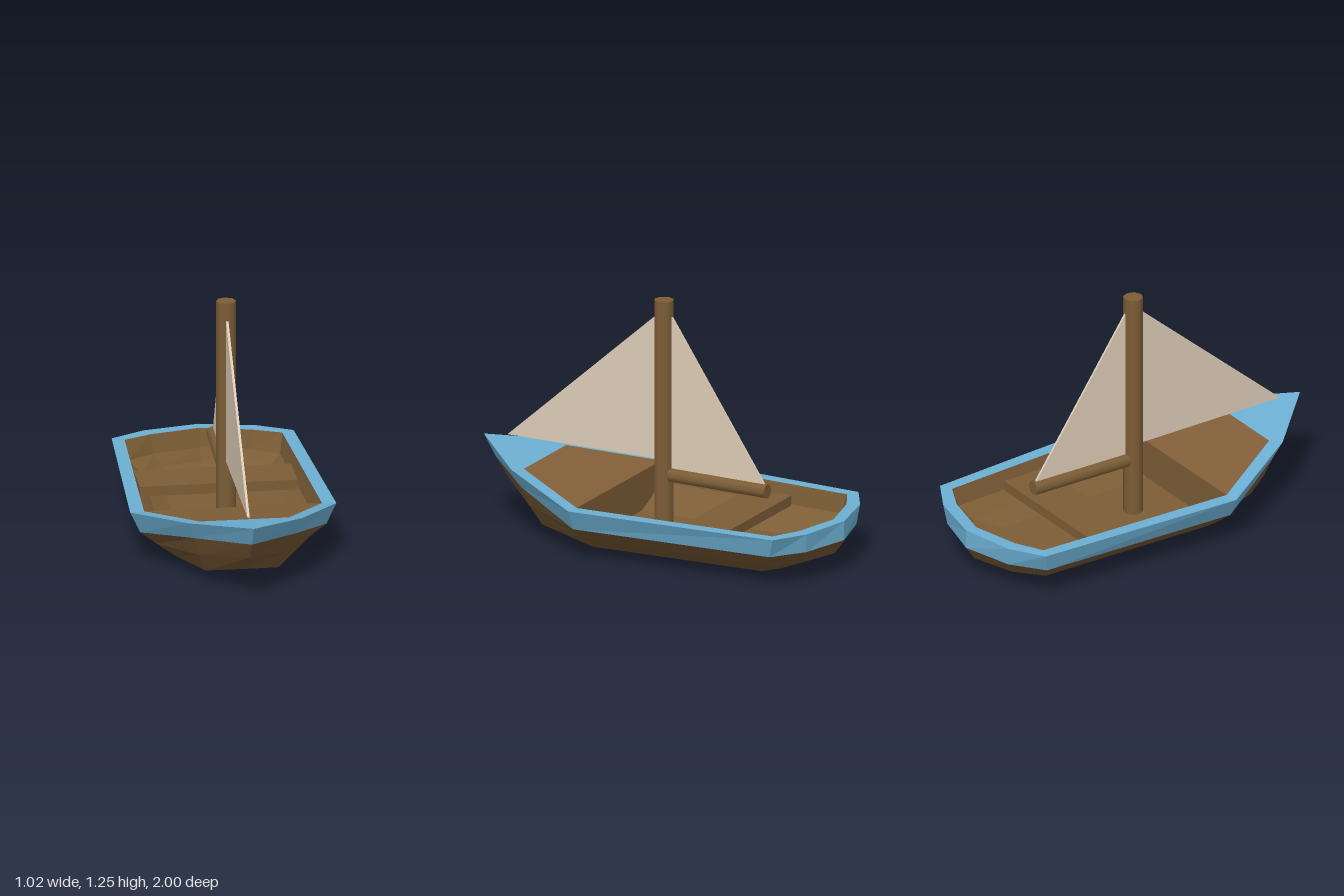
import * as THREE from 'three';

const mat = (name, color) => {
  const m = new THREE.MeshStandardMaterial({ color });
  m.name = name;
  return m;
};

// Flat faceted mesh from convex polygons given as lists of [x, y, z]
function faceted(name, polygons, material) {
  const pos = [];
  for (const p of polygons)
    for (let i = 1; i < p.length - 1; i++) pos.push(...p[0], ...p[i], ...p[i + 1]);
  const g = new THREE.BufferGeometry();
  g.setAttribute('position', new THREE.Float32BufferAttribute(pos, 3));
  g.computeVertexNormals();
  const mesh = new THREE.Mesh(g, material);
  mesh.name = name;
  return mesh;
}

const mirror = ([x, y, z]) => [-x, y, z];
// Closed loop from a stern-to-bow half section
const loop = (half) => [...half, ...half.slice(1, -1).reverse().map(mirror), half[0]];
// Open U-shaped path round the stern
const path = (half) => [...half.slice(1).reverse().map(mirror), ...half];
// Quads joining two equal rows of points
const strip = (a, b) => a.slice(1).map((p, i) => [a[i], p, b[i + 1], b[i]]);
const strips = (rows) => rows.slice(1).flatMap((r, i) => strip(rows[i], r));

export function createModel() {
  const blue = mat('blue paint', 0x6cafd2);
  const hullWood = mat('hull wood', 0x6e5230);
  const wood = mat('wood', 0x7c5d36);
  const deckWood = mat('deck wood', 0x825f38);
  const cloth = mat('sail cloth', 0xdccbb6);
  const boat = new THREE.Group();
  boat.name = 'sailboat';

  // Outer hull half sections, gunwale down to chine
  const outer = [
    [[0, 0.265, -1], [0.28, 0.265, -0.94], [0.45, 0.267, -0.84], [0.51, 0.27, 0.26], [0.28, 0.357, 0.7], [0, 0.42, 1]],
    [[0, 0.168, -1], [0.26, 0.168, -0.93], [0.42, 0.168, -0.81], [0.46, 0.165, 0.26], [0.25, 0.265, 0.66], [0, 0.315, 0.935]],
    [[0, 0.095, -0.95], [0.22, 0.095, -0.88], [0.35, 0.095, -0.77], [0.38, 0.1, 0.25], [0.22, 0.165, 0.63], [0, 0.225, 0.87]],
    [[0, 0.03, -0.79], [0.16, 0.03, -0.74], [0.25, 0.03, -0.68], [0.28, 0.028, 0.25], [0.18, 0.065, 0.58], [0, 0.125, 0.75]],
  ];
  const rings = outer.map(loop);
  const keel = [0, 0, 0.25];
  const bottom = strip(rings[3], rings[3]).map(([a, b]) => [a, b, keel]);
  boat.add(faceted('hull', [...strips(rings.slice(1)), ...bottom], hullWood));
  boat.add(faceted('hullBand', strip(rings[0], rings[1]), blue));

  // Inside of the cockpit: walls, floor and bulkhead
  const inner = [
    [[0, 0.265, -0.94], [0.25, 0.265, -0.88], [0.39, 0.267, -0.81], [0.44, 0.27, 0.25]],
    [[0, 0.17, -0.92], [0.24, 0.17, -0.86], [0.375, 0.17, -0.78], [0.42, 0.17, 0.25]],
    [[0, 0.11, -0.89], [0.2, 0.11, -0.83], [0.31, 0.11, -0.74], [0.34, 0.11, 0.25]],
    [[0, 0.07, -0.76], [0.14, 0.07, -0.7], [0.22, 0.07, -0.63], [0.24, 0.07, 0.25]],
  ];
  const walls = inner.map(path);
  const side = inner.map((h) => h[3]);
  boat.add(faceted('cockpitWalls', strips([...walls].reverse()), wood));
  boat.add(faceted('cockpitFloor', [[...walls[3]].reverse()], wood));
  boat.add(faceted('bulkhead', [[...side, ...side.map(mirror).reverse()]], wood));

  // Gunwale rim, blue bow plate and foredeck
  const deckTip = [0.22, 0.35, 0.66];
  const rimIn = path([...inner[0], deckTip]);
  const rimOut = path(outer[0].slice(0, 5));
  const shoulder = outer[0][4];
  const bowPlate = [mirror(deckTip), mirror(shoulder), outer[0][5], shoulder, deckTip];
  boat.add(faceted('rim', [...strip(rimIn, rimOut), bowPlate], blue));
  boat.add(faceted('foredeck', [[mirror(side[0]), mirror(deckTip), deckTip, side[0]]], deckWood));

  // Bench
  const bench = new THREE.Mesh(new THREE.BoxGeometry(0.78, 0.05, 0.24), wood);
  bench.name = 'bench';
  bench.position.set(0, 0.19, -0.38);
  boat.add(bench);

  // Mast
  const mast = new THREE.Mesh(new THREE.CylinderGeometry(0.049, 0.049, 1.2, 8), wood);
  mast.name = 'mast';
  mast.position.y = 0.655;
  boat.add(mast);

  // Thin triangular sail from [z, y] corners
  const sail = (name, corners) => {
    const shape = new THREE.Shape(corners.map(([z, y]) => new THREE.Vector2(z, y)));
    const g = new THREE.ExtrudeGeometry(shape, { depth: 0.012, bevelEnabled: false });
    g.rotateY(-Math.PI / 2).translate(0.006, 0, 0);
    const mesh = new THREE.Mesh(g, cloth);
    mesh.name = name;
    return mesh;
  };

  // Boom and mainsail, swung slightly to one side
  const boom = new THREE.Mesh(new THREE.CylinderGeometry(0.037, 0.037, 0.565, 8).rotateX(Math.PI / 2), wood);
  boom.name = 'boom';
  boom.position.set(0, 0.363, -0.303);
  const rig = new THREE.Group();
  rig.name = 'mainRig';
  rig.add(boom, sail('mainsail', [[-0.575, 0.39], [-0.02, 0.39], [-0.02, 1.215]]));
  rig.rotation.y = -0.035;

  // Jib
  const jib = sail('jib', [[0.02, 0.435], [0.87, 0.435], [0.02, 1.19]]);
  jib.rotation.y = -0.01;
  boat.add(rig, jib);
  return boat;
}
